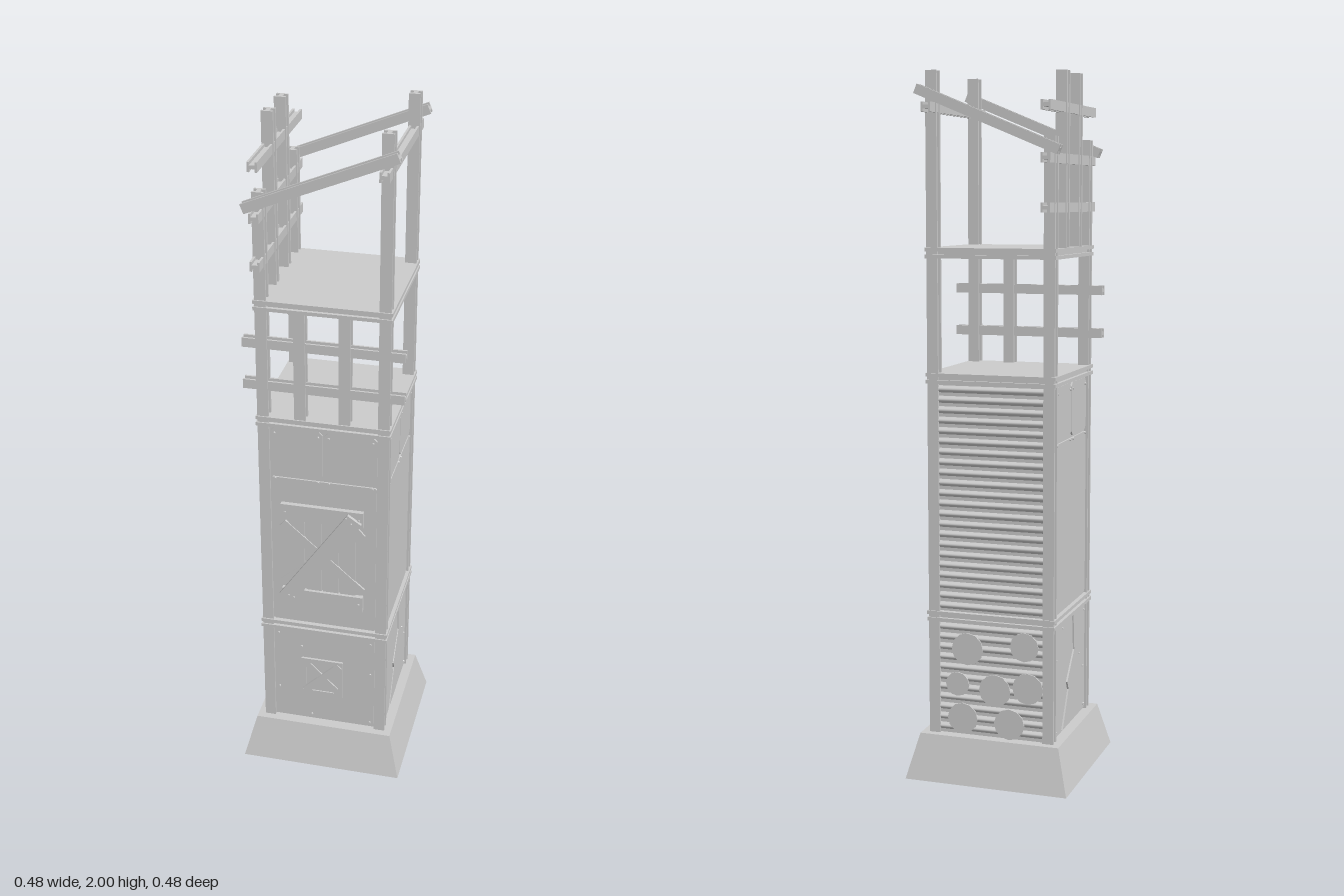
import * as THREE from 'three';

const mat = new THREE.MeshStandardMaterial({ color: 0xcccccc, flatShading: true });

function add(parent, name, geo, x = 0, y = 0, z = 0) {
  const m = new THREE.Mesh(geo, mat);
  m.name = name;
  m.position.set(x, y, z);
  parent.add(m);
  return m;
}
const box = (parent, name, w, h, d, x, y, z) => add(parent, name, new THREE.BoxGeometry(w, h, d), x, y, z);

// I-section beam along local z, flanges on the local x sides
function beamGeo(length, s = 0.03) {
  const a = s / 2, f = s * 0.22, w = s * 0.18;
  const pts = [[-a, -a], [-a + f, -a], [-a + f, -w], [a - f, -w], [a - f, -a], [a, -a],
    [a, a], [a - f, a], [a - f, w], [-a + f, w], [-a + f, a], [-a, a]];
  const shape = new THREE.Shape(pts.map(p => new THREE.Vector2(...p)));
  return new THREE.ExtrudeGeometry(shape, { depth: length, bevelEnabled: false }).translate(0, 0, -length / 2);
}
function post(parent, name, x, z, y0, y1) {
  const g = beamGeo(y1 - y0, 0.032).rotateZ(Math.PI / 2).rotateX(-Math.PI / 2);
  return add(parent, name, g, x, (y0 + y1) / 2, z);
}
const railZ = (parent, name, x, y, len) => add(parent, name, beamGeo(len, 0.027), x, y, 0);
const railX = (parent, name, y, z, len) => add(parent, name, beamGeo(len, 0.027).rotateY(Math.PI / 2), 0, y, z);

// Flat plate cut to an outline, lying on a wall
function plate(parent, name, pts, z = 0, depth = 0.005) {
  const shape = new THREE.Shape(pts.map(p => new THREE.Vector2(...p)));
  return add(parent, name, new THREE.ExtrudeGeometry(shape, { depth, bevelEnabled: false }), 0, 0, z);
}
// Rectangle outline with clipped corners
function clipped(x0, x1, y0, y1, c = 0.012) {
  return [[x0 + c, y0], [x1 - c, y0], [x1, y0 + c], [x1, y1 - c], [x1 - c, y1], [x0 + c, y1], [x0, y1 - c], [x0, y0 + c]];
}
function rivet(parent, x, y, z = 0.005) {
  add(parent, 'rivet', new THREE.CylinderGeometry(0.003, 0.004, 0.005, 6).rotateX(Math.PI / 2), x, y, z + 0.0015);
}
function plank(parent, name, x, y, len, w, angle, z, d = 0.01) {
  box(parent, name, len, w, d, x, y, z).rotation.z = angle;
}
// Wall group: local z points out of the tower
function wall(root, name, angle) {
  const turn = new THREE.Group();
  turn.name = name;
  turn.rotation.y = angle;
  const g = new THREE.Group();
  g.position.z = 0.175;
  turn.add(g);
  root.add(turn);
  return g;
}
function corrugated(parent, name, y0, y1) {
  const n = Math.round((y1 - y0) / 0.03);
  const g = new THREE.PlaneGeometry(0.31, y1 - y0, 1, n * 8).translate(0, (y0 + y1) / 2, 0);
  const p = g.attributes.position;
  for (let i = 0; i < p.count; i++) {
    p.setZ(i, 0.003 - 0.006 * Math.cos((p.getY(i) - y0) / (y1 - y0) * n * Math.PI * 2));
  }
  g.computeVertexNormals();
  const m = add(parent, name, g);
  m.material = new THREE.MeshStandardMaterial({ color: 0xcccccc, side: THREE.DoubleSide });
}
// Two small plates and rivets along the top of the upper storey
function topPlates(w) {
  plate(w, 'upperPlateLeft', clipped(-0.152, -0.003, 0.985, 1.138), 0);
  plate(w, 'upperPlateRight', clipped(0.003, 0.152, 0.985, 1.138), 0);
  for (const x of [-0.14, -0.015, 0.015, 0.14]) for (const y of [0.975, 1.12]) rivet(w, x, y);
}

export function createModel() {
  const root = new THREE.Group();
  root.name = 'scrapTower';

  // Sloped base
  const base = new THREE.CylinderGeometry(0.207 * Math.SQRT2, 0.241 * Math.SQRT2, 0.13, 4);
  add(root, 'base', base.rotateY(Math.PI / 4), 0, 0.065, 0);

  // Storey cores
  box(root, 'lowerCore', 0.35, 0.34, 0.35, 0, 0.3, 0);
  box(root, 'upperCore', 0.35, 0.66, 0.35, 0, 0.82, 0);

  // Ledges and floors, each a recessed slab between two flanges
  for (const y of [0.475, 1.157, 1.505]) {
    box(root, 'floor', 0.36, 0.024, 0.36, 0, y, 0);
    for (const s of [-1, 1]) box(root, 'ledgeFlange', 0.38, 0.01, 0.38, 0, y + s * 0.0095, 0);
  }

  // Corner posts, the left-hand pair broken off lower
  for (const x of [-0.17, 0.17]) for (const z of [-0.17, 0.17]) post(root, 'cornerPost', x, z, 0.13, x > 0 ? 2 : 1.82);

  // Front lattice of the open storey
  for (const x of [-0.065, 0.06]) post(root, 'frontLatticePost', x, 0.17, 1.17, 1.49);
  for (const y of [1.265, 1.39]) railX(root, 'frontLatticeRail', y, 0.17, 0.45);

  // Side lattice of the top storey and the single rail opposite
  for (const z of [-0.063, 0.063]) post(root, 'sideLatticePost', -0.17, z, 1.51, 2);
  for (const y of [1.63, 1.762, 1.9]) railZ(root, 'sideLatticeRail', -0.17, y, 0.45);
  railZ(root, 'sideRail', 0.17, 1.9, 0.45);

  // Sloping beams front and back
  for (const z of [-0.203, 0.203]) railX(root, 'slopingBeam', 1.866, z, 0.44).rotation.z = 0.39;

  // Front wall
  const front = wall(root, 'frontWall', 0);
  topPlates(front);
  plate(front, 'frontPlate', clipped(-0.152, 0.152, 0.492, 0.978, 0.004), 0);
  // Boarded shutter with a loose diagonal plank
  for (let i = 0; i < 4; i++) box(front, 'shutterBoard', 0.046, 0.29, 0.008, -0.079 + i * 0.05, 0.73, 0.007);
  for (const s of [-1, 1]) plank(front, 'shutterBrace', -0.004, 0.73, 0.31, 0.028, s * 0.72, 0.011, 0.006);
  for (const y of [0.588, 0.875]) box(front, 'shutterBar', 0.24, 0.05, 0.014, -0.003, y, 0.013);
  plank(front, 'loosePlank', -0.008, 0.732, 0.36, 0.048, 0.97, 0.025);
  for (const [x, y] of [[-0.1, 0.597], [0.085, 0.867], [0.07, 0.883], [-0.085, 0.592]]) rivet(front, x, y, 0.029);
  for (const x of [-0.11, 0.105]) for (const y of [0.588, 0.875]) rivet(front, x, y, 0.019);
  // Lower sheet with a torn corner and a small boarded hatch
  plate(front, 'lowerSheet', [[-0.06, 0.135], [0.152, 0.135], [0.152, 0.455], [-0.152, 0.455], [-0.152, 0.225],
    [-0.105, 0.215], [-0.115, 0.19], [-0.065, 0.175]]);
  box(front, 'hatch', 0.125, 0.13, 0.004, -0.006, 0.295, 0.006);
  for (const y of [0.237, 0.353]) box(front, 'hatchBar', 0.125, 0.016, 0.008, -0.006, y, 0.008);
  for (const x of [-0.063, 0.05]) box(front, 'hatchSide', 0.014, 0.13, 0.007, x, 0.295, 0.008);
  plank(front, 'hatchPlank', -0.006, 0.295, 0.15, 0.02, -0.78, 0.009, 0.006);
  plank(front, 'hatchPlank', -0.006, 0.295, 0.15, 0.022, 0.78, 0.011, 0.006);
  for (const [x, y] of [[-0.14, 0.44], [0.14, 0.44], [0.14, 0.33], [0.14, 0.15], [-0.04, 0.15], [-0.14, 0.24], [-0.07, 0.4]]) rivet(front, x, y);

  // Side walls: large sheet above, torn overlapping sheets below
  for (const s of [1, -1]) {
    const w = wall(root, s > 0 ? 'rightWall' : 'leftWall', s * Math.PI / 2);
    topPlates(w);
    plate(w, 'sideSheet', clipped(-0.152, 0.152, 0.492, 0.978), 0);
    plate(w, 'tornSheet', [[-0.152, 0.135], [-0.09, 0.135], [-0.03, 0.24], [-0.045, 0.27], [0.03, 0.35], [0.02, 0.455], [-0.152, 0.455]]);
    plate(w, 'tornSheet', [[-0.07, 0.135], [0.152, 0.135], [0.152, 0.455], [0.035, 0.455], [0.045, 0.345],
      [-0.025, 0.265], [-0.012, 0.24]]);
    for (const [x, y] of [[-0.14, 0.15], [-0.14, 0.36], [-0.08, 0.44], [0.09, 0.32], [0.13, 0.27], [0.14, 0.15], [0.14, 0.44]]) rivet(w, x, y);
  }

  // Back wall: corrugated sheets with round patches
  const back = wall(root, 'backWall', Math.PI);
  corrugated(back, 'upperCorrugatedSheet', 0.492, 1.142);
  corrugated(back, 'lowerCorrugatedSheet', 0.135, 0.46);
  for (const [x, y, r] of [[-0.07, 0.385, 0.047], [0.1, 0.405, 0.042], [0.012, 0.27, 0.047], [0.11, 0.285, 0.045],
    [-0.085, 0.18, 0.045], [0.055, 0.175, 0.045], [-0.1, 0.28, 0.035]]) {
    add(back, 'roundPatch', new THREE.CylinderGeometry(r, r, 0.004, 12).rotateX(Math.PI / 2), x, y, 0.01);
  }
  return root;
}
